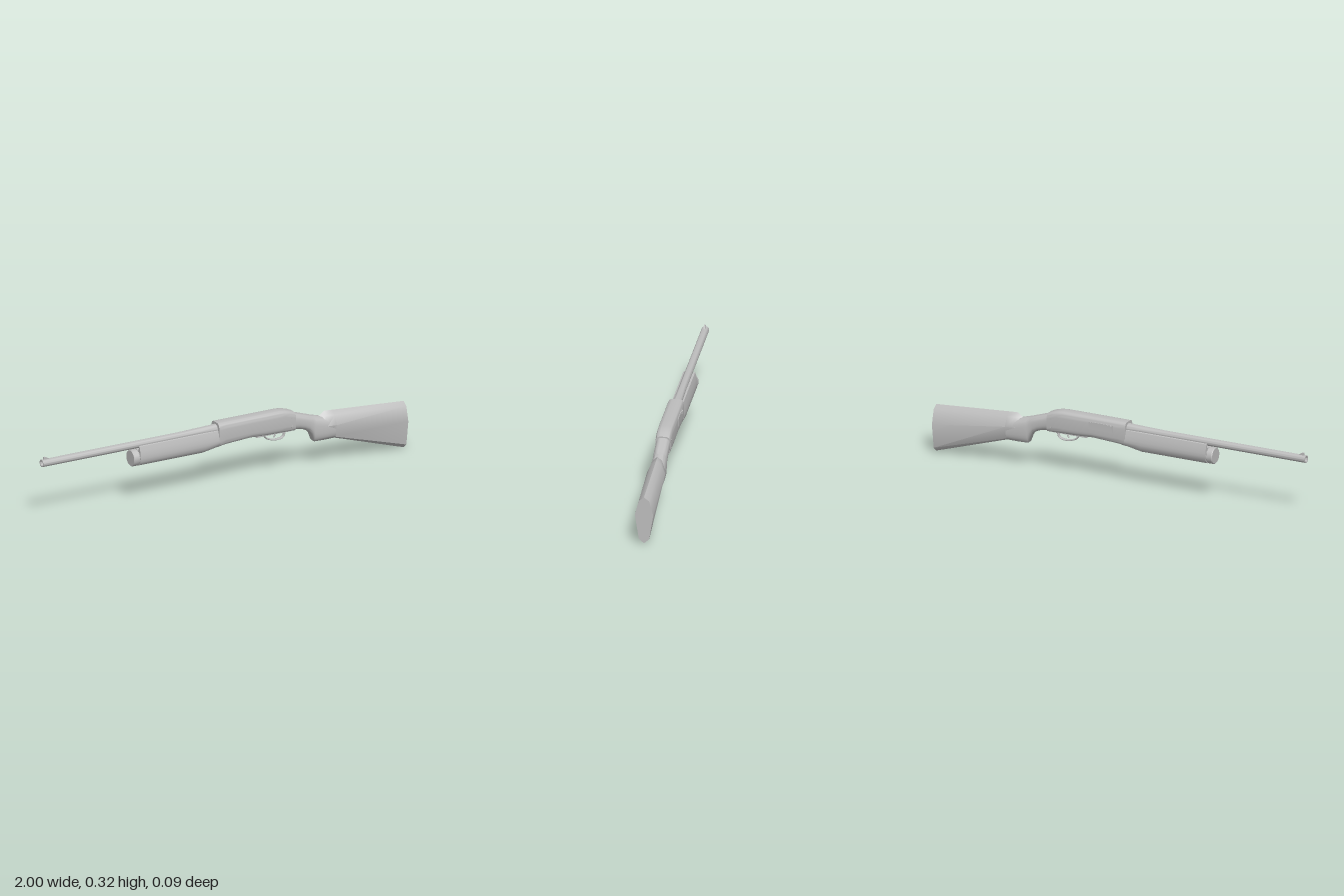
import * as THREE from 'three';
import { toCreasedNormals } from 'three/addons/utils/BufferGeometryUtils.js';

const grey = new THREE.MeshStandardMaterial({ color: 0xbcbcbc });
grey.name = 'plain grey';

// Closed, capped skin through rings of [z, y]; each section is { x, ring }
function loft(sections, crease = 0.7) {
  const n = sections[0].ring.length, pos = [], idx = [];
  for (const { x, ring } of sections) for (const [z, y] of ring) pos.push(x, y, z);
  for (let i = 0; i < sections.length - 1; i++) {
    for (let j = 0; j < n; j++) {
      const a = i * n + j, b = i * n + (j + 1) % n;
      idx.push(a, b, a + n, b, b + n, a + n);
    }
  }
  [0, sections.length - 1].forEach((s, end) => {
    const faces = THREE.ShapeUtils.triangulateShape(
      sections[s].ring.map(([z, y]) => new THREE.Vector2(z, y)), []);
    // rings run clockwise or not, so orient every cap triangle by its area
    for (const [a, b, c] of faces) {
      const [p, q, r] = [a, b, c].map(k => sections[s].ring[k]);
      const facesBack = (q[1] - p[1]) * (r[0] - p[0]) - (q[0] - p[0]) * (r[1] - p[1]) > 0;
      const o = s * n;
      if (facesBack === (end === 1)) idx.push(o + a, o + b, o + c);
      else idx.push(o + a, o + c, o + b);
    }
  });
  const g = new THREE.BufferGeometry();
  g.setAttribute('position', new THREE.Float32BufferAttribute(pos, 3));
  g.setIndex(idx);
  return toCreasedNormals(g, crease);
}

// Rounded-box ring, squarer with a higher power
function roundRing(top, bottom, half, power, n = 32) {
  const bend = v => Math.sign(v) * Math.abs(v) ** (2 / power);
  return Array.from({ length: n }, (_, i) => {
    const t = i / n * Math.PI * 2;
    return [half * bend(Math.sin(t)), (top + bottom) / 2 + (top - bottom) / 2 * bend(Math.cos(t))];
  });
}

// Mirror a half outline (top to bottom, both ends on z = 0)
const mirrorRing = half => [...half, ...half.slice(1, -1).reverse().map(([z, y]) => [-z, y])];

// Turned part along x from points of [radius, x]
function turned(points, y) {
  const g = new THREE.LatheGeometry(points.map(p => new THREE.Vector2(...p)), 24);
  return toCreasedNormals(g.rotateZ(-Math.PI / 2).translate(0, y, 0), 0.6);
}

// Flattened tube through points of [x, y]
function strap(points, radius, widen) {
  const curve = new THREE.CatmullRomCurve3(points.map(([x, y]) => new THREE.Vector3(x, y, 0)));
  return new THREE.TubeGeometry(curve, 28, radius, 8).scale(1, 1, widen);
}

export function createModel() {
  const group = new THREE.Group();
  const add = (name, geometry, x = 0, y = 0, z = 0) => {
    const mesh = new THREE.Mesh(geometry, grey);
    mesh.name = name;
    mesh.position.set(x, y, z);
    group.add(mesh);
  };

  // Barrel with open muzzle, swelling towards the receiver
  add('barrel', turned([[0, -0.94], [0.013, -0.94], [0.013, -1], [0.0185, -1], [0.0185, -0.24],
    [0.0215, -0.12], [0.0235, -0.05], [0.0235, -0.03]], 0.288));
  const ramp = new THREE.Shape([[-0.99, 0.303], [-0.955, 0.303], [-0.978, 0.317], [-0.988, 0.318]]
    .map(p => new THREE.Vector2(...p)));
  add('frontSight', new THREE.ExtrudeGeometry(ramp, { depth: 0.008, bevelEnabled: false }), 0, 0, -0.004);

  // Magazine cap and neck
  add('magazineCap', turned([[0, -0.51], [0.038, -0.51], [0.041, -0.506], [0.041, -0.48],
    [0.037, -0.476], [0.037, -0.46]], 0.224));

  // Fore-end: rounded trough that cradles the barrel
  const trough = [[0, 0.262], [0.02, 0.262], [0.022, 0.286], [0.029, 0.284], [0.036, 0.262],
    [0.04, 0.24], [0.041, 0.224], [0.038, 0.207], [0.029, 0.193], [0.016, 0.185], [0, 0.183]];
  const lift = b => mirrorRing(trough.map(([z, y]) =>
    [z * 0.98, y < 0.24 ? 0.24 - (0.24 - y) * (0.24 - b) / 0.057 : y]));
  add('foreEnd', loft([[-0.475, 0.183], [-0.12, 0.183], [-0.08, 0.19], [-0.035, 0.2]]
    .map(([x, b]) => ({ x, ring: lift(b) }))));

  // Receiver: slab-sided body with a rounded, falling rear
  add('receiver', loft([
    [-0.04, 0.322, 0.2, 0.0395], [0, 0.322, 0.207, 0.0395], [0.14, 0.322, 0.215, 0.0395],
    [0.22, 0.322, 0.211, 0.0395], [0.3, 0.322, 0.209, 0.039], [0.33, 0.319, 0.208, 0.0385],
    [0.36, 0.311, 0.207, 0.0375], [0.385, 0.3, 0.206, 0.036],
  ].map(([x, t, b, w]) => ({ x, ring: roundRing(t, b, w, 4) }))));

  // Ejection port, bolt and handle on the right side
  add('ejectionPort', new THREE.BoxGeometry(0.13, 0.036, 0.004), 0.09, 0.28, -0.0385);
  add('boltSlide', new THREE.BoxGeometry(0.085, 0.006, 0.004), 0.1, 0.297, -0.0393);
  add('boltHandle', new THREE.BoxGeometry(0.014, 0.013, 0.012), 0.036, 0.288, -0.0386);

  // Cross pins on both sides
  for (const side of [-1, 1]) {
    for (const [x, y] of [[0.36, 0.278], [0.362, 0.236]]) {
      add('pin', new THREE.CylinderGeometry(0.004, 0.004, 0.004, 12).rotateX(Math.PI / 2), x, y, side * 0.0368);
    }
  }

  // Trigger group
  add('triggerPlate', new THREE.BoxGeometry(0.19, 0.012, 0.03), 0.275, 0.21, 0);
  add('triggerGuard', strap([[0.225, 0.208], [0.24, 0.188], [0.27, 0.175], [0.305, 0.172],
    [0.332, 0.18], [0.342, 0.208]], 0.004, 2.6));
  add('trigger', strap([[0.285, 0.208], [0.288, 0.196], [0.282, 0.183]], 0.003, 1.5));

  // Pistol grip
  add('grip', loft([
    [0.375, 0.298, 0.21, 0.035], [0.41, 0.286, 0.206, 0.034], [0.44, 0.276, 0.198, 0.034],
    [0.465, 0.268, 0.184, 0.034], [0.482, 0.262, 0.162, 0.034], [0.493, 0.259, 0.13, 0.035],
    [0.5, 0.257, 0.125, 0.036], [0.55, 0.242, 0.124, 0.038], [0.605, 0.23, 0.125, 0.038],
  ].map(([x, t, b, w]) => ({ x, ring: roundRing(t, b, w, 2.6) }))));

  // Eight-sided stock, deepening towards the butt
  add('stock', loft([
    [0.53, 0.247, 0.155, 0.034, 0.2], [0.56, 0.268, 0.145, 0.038, 0.2],
    [0.605, 0.265, 0.124, 0.0445, 0.2], [1, 0.237, 0, 0.0445, 0.146],
  ].map(([x, t, b, w, wide]) => ({
    x,
    ring: mirrorRing([[0, t], [w * 0.56, t - 0.019], [w, wide], [w * 0.56, b + (wide - b) * 0.15], [0, b]]),
  }))));

  return group;
}
